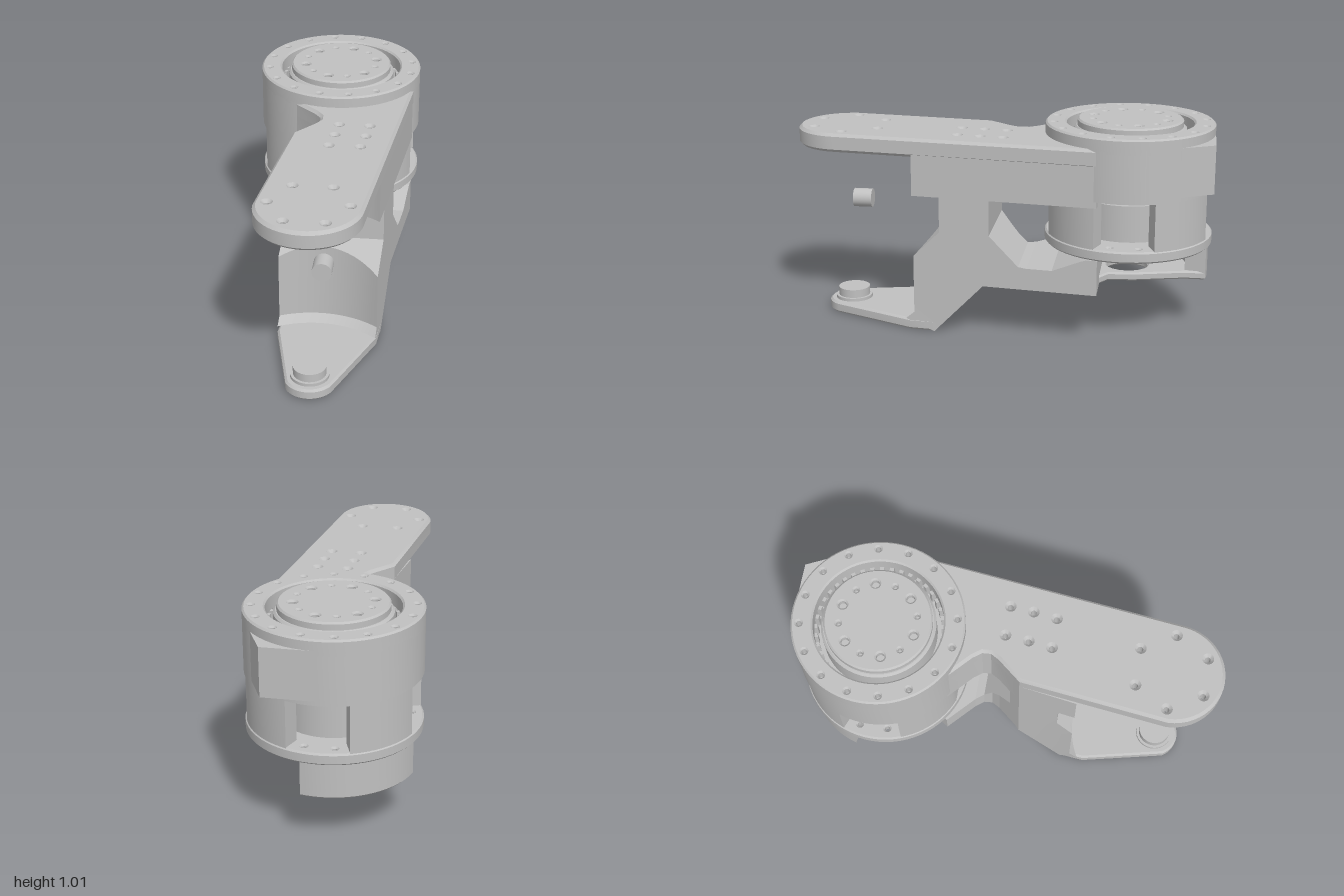
import * as THREE from 'three';
import { toCreasedNormals } from 'three/addons/utils/BufferGeometryUtils.js';

const CZ = -0.6; // depth of the actuator axis
const RAD = Math.PI / 180;

// right and left side lines of the arm, as x for a given z
const sideR = z => 0.39 - (z + 0.6) * 0.114;
const LEFT = [[-0.48, -0.13], [-0.4, -0.13], [-0.27, -0.21], [-0.15, -0.08], [-0.11, -0.05], [-0.07, -0.047],
  [-0.03, -0.07], [0.08, -0.16], [0.77, -0.24]];
function sideL(z) {
  const i = Math.max(1, LEFT.findIndex(([z1]) => z <= z1));
  const [z0, x0] = LEFT[i - 1], [z1, x1] = LEFT[i];
  return x0 + (x1 - x0) * (z - z0) / (z1 - z0);
}

// points along an arc in plan, angles in degrees from +x towards +z
function arc(cx, cz, r, a0, a1, n = 24) {
  return Array.from({ length: n + 1 }, (_, i) => {
    const a = (a0 + (a1 - a0) * i / n) * RAD;
    return [cx + r * Math.cos(a), cz + r * Math.sin(a)];
  });
}
const toPath = pts => pts.map(([x, z]) => new THREE.Vector2(x, -z));

// upright extrusion of a plan outline; holes are [x, z, radius] and widen at the bevels
function planSlab(pts, y0, y1, holes = [], bevel = 0) {
  const shape = new THREE.Shape(toPath(pts));
  for (const [x, z, r] of holes) {
    const n = r > 0.1 ? 72 : 20;
    shape.holes.push(new THREE.Path(toPath(arc(x, z, r, 360 - 360 / n, 0, n - 1))));
  }
  const geo = new THREE.ExtrudeGeometry(shape, {
    depth: y1 - y0 - 2 * bevel, bevelEnabled: bevel > 0, bevelSize: bevel,
    bevelThickness: bevel, bevelOffset: -bevel, bevelSegments: 1,
  });
  geo.rotateX(-Math.PI / 2).translate(0, y0 + bevel, 0);
  return toCreasedNormals(geo, 0.5);
}
const circle = r => arc(0, CZ, r, 0, 355, 71);
const boltRing = (n, start, r, sizes) => Array.from({ length: n }, (_, i) => {
  const a = (start + i * 360 / n) * RAD;
  return [r * Math.cos(a), CZ + r * Math.sin(a), sizes[i % sizes.length]];
});
const lathe = pts => toCreasedNormals(
  new THREE.LatheGeometry(pts.map(([r, y]) => new THREE.Vector2(r, y)), 72), 0.5).translate(0, 0, CZ);

// side profile of [z, y] points swept across x between the arm's side lines,
// with the foremost face hollowed around the foot button
function sweep(profile, steps) {
  const shape = new THREE.Shape(profile.map(([z, y]) => new THREE.Vector2(-z, y)));
  const geo = new THREE.ExtrudeGeometry(shape, { depth: 1, steps, bevelEnabled: false });
  geo.rotateY(Math.PI / 2);
  const p = geo.attributes.position;
  for (let i = 0; i < p.count; i++) {
    let y = p.getY(i), z = p.getZ(i);
    const l = sideL(z), x = l + (sideR(z) - l) * p.getX(i);
    if (z > 0.39) {
      const r = z > 0.42 ? 0.42 : 0.455;
      z = 0.76 - Math.sqrt(r * r - x * x);
      if (y > 0.3) y = 0.77 - z;
    }
    p.setXYZ(i, x, y, z);
  }
  return toCreasedNormals(geo, 0.4);
}

export function createModel() {
  const model = new THREE.Group();
  const metal = new THREE.MeshStandardMaterial({ color: 0xc0c0c0 });
  metal.name = 'greyMetal';
  const add = (name, geo, parent = model) => {
    const mesh = new THREE.Mesh(geo, metal);
    mesh.name = name;
    parent.add(mesh);
    return mesh;
  };
  const cyl = (name, r, y0, y1, z, parent) =>
    add(name, new THREE.CylinderGeometry(r, r, y1 - y0, 48), parent).position.set(0, (y0 + y1) / 2, z);

  // upper plate with its countersunk holes, rounded at the front
  const neck = [0.08, -0.03, -0.07, -0.11, -0.15, -0.27].map(z => [sideL(z), z]);
  const plateHoles = [];
  for (const [z, x] of [[-0.02, 0.05], [0.09, 0.04], [0.2, 0.025]]) {
    plateHoles.push([x, z, 0.013], [x + 0.145, z, 0.013]);
  }
  for (const [z, x] of [[0.6, 0.09], [0.755, 0.18], [0.91, 0.09]]) {
    plateHoles.push([x, z, 0.013], [-x, z, 0.013]);
  }
  add('upperPlate', planSlab([...arc(0, 0.76, 0.24, 5, 178), ...neck,
    ...arc(0, CZ, 0.365, 125, 12), [0.384, -0.53]], 0.855, 0.945, plateHoles, 0.014));

  // block under the upper plate, hollowed at the front
  add('upperBlock', planSlab([...arc(0, 0.76, 0.455, -52, -116), ...neck,
    ...arc(0, CZ, 0.36, 125, 20), [sideR(-0.47), -0.47]], 0.67, 0.87));

  // column down to the foot
  add('column', sweep([[0.27, 0.68], [0.27, 0.5], [0.4, 0.37], [0.4, 0.09], [0.435, 0.055],
    [0.3, 0], [0.08, 0.229], [0.08, 0.68]], 16));

  // bridge from the column back under the actuator: stations of [z, bottom, top]
  const stations = [[0.08, 0.229, 0.68], [0.06, 0.25, 0.68], [0.03, 0.25, 0.68], [0.03, 0.25, 0.5],
    [-0.03, 0.25, 0.44], [-0.07, 0.25, 0.4], [-0.11, 0.25, 0.36], [-0.15, 0.25, 0.355], [-0.27, 0.25, 0.355],
    [-0.4, 0.25, 0.41], [-0.43, 0.25, 0.42], [-0.48, 0.25, 0.42]];
  for (let i = 1; i < stations.length; i++) {
    const [z0, b0, t0] = stations[i - 1], [z1, b1, t1] = stations[i];
    if (z0 > z1) add('bridge', sweep([[z0, b0], [z1, b1], [z1, t1], [z0, t0]], 1));
  }

  // foot with its round button
  add('foot', planSlab([[sideR(0.3), 0.3], [sideR(0.4), 0.42], ...arc(0, 0.76, 0.12, 30, 150),
    [sideL(0.4), 0.42], [sideL(0.3), 0.3]], 0, 0.055, [], 0.01));
  cyl('buttonCollar', 0.09, 0.05, 0.07, 0.76);
  cyl('button', 0.077, 0.07, 0.11, 0.76);

  // short loose pin ahead of the column
  const pin = add('pin', new THREE.CylinderGeometry(0.045, 0.045, 0.09, 32));
  pin.rotation.x = Math.PI / 2;
  pin.position.set(0.052, 0.587, 0.685);

  // actuator crown: drilled rim, recessed body, bearing and output hub
  const actuator = new THREE.Group();
  actuator.name = 'actuator';
  model.add(actuator);
  add('crownRim', planSlab(circle(0.4), 0.92, 1,
    [[0, CZ, 0.3], ...boltRing(16, 11.25, 0.362, [0.012])], 0.008), actuator);
  add('crownBody', lathe([[0, 0.7], [0.4, 0.7], [0.4, 0.94], [0.31, 0.94], [0.31, 0.85], [0, 0.85]]), actuator);
  add('hubShoulder', lathe([[0.265, 0.85], [0.265, 0.97], [0.255, 0.98], [0, 0.98]]), actuator);
  add('outputHub', planSlab(circle(0.25), 0.97, 1.015, boltRing(12, -15, 0.18, [0.019, 0.01]), 0.008), actuator);
  for (let i = 0; i < 40; i++) {
    const a = i * 9 * RAD;
    const roller = add('bearingRoller', new THREE.BoxGeometry(0.02, 0.08, 0.02), actuator);
    roller.position.set(0.295 * Math.cos(a), 0.89, CZ + 0.295 * Math.sin(a));
    roller.rotation.y = -a;
  }
  add('cornerLug', planSlab([[0, -1], [0.24, -1], [0.39, -0.69], [0.33, -0.72], [0.2, -0.88]], 0.72, 0.95), actuator);

  // housing walls between three open windows, with a flat at the front
  const housing = (...spans) => add('housingWall', planSlab([
    ...spans.flatMap(([a0, a1]) => arc(0, CZ, 0.395, a0, a1, 12)),
    ...arc(0, CZ, 0.31, spans.at(-1)[1], spans[0][0]),
  ], 0.47, 0.705), actuator);
  housing([20.7, 69.3], [110.7, 159.3]);
  housing([200.7, 249.3]);
  housing([290.7, 339.3]);

  // drilled flange and the rotor inside the housing
  add('flange', planSlab(circle(0.4), 0.42, 0.475,
    [[0, CZ, 0.12], ...boltRing(16, 11.25, 0.345, [0.012])], 0.008), actuator);
  cyl('innerRotor', 0.25, 0.47, 0.65, CZ, actuator);
  cyl('rotorCap', 0.09, 0.65, 0.66, CZ, actuator);

  // lower bracket: notched base plate and curved rear wall
  add('basePlate', planSlab([[0.36, -0.42], [0.37, -0.48], [0.24, -0.46], [0.15, -0.52], [0.14, -0.64],
    [0.08, -0.88], ...arc(0, CZ, 0.385, -78, -165), [-0.28, -0.7], [-0.15, -0.69], [-0.13, -0.42]], 0.25, 0.29,
  [[0, CZ, 0.1], [-0.23, -0.83, 0.014], [-0.1, -0.91, 0.014], [-0.31, -0.73, 0.014]], 0.008));
  add('rearWall', planSlab([...arc(0, CZ, 0.385, -78, -165), ...arc(0, CZ, 0.285, -165, -78)], 0.275, 0.425));
  return model;
}
